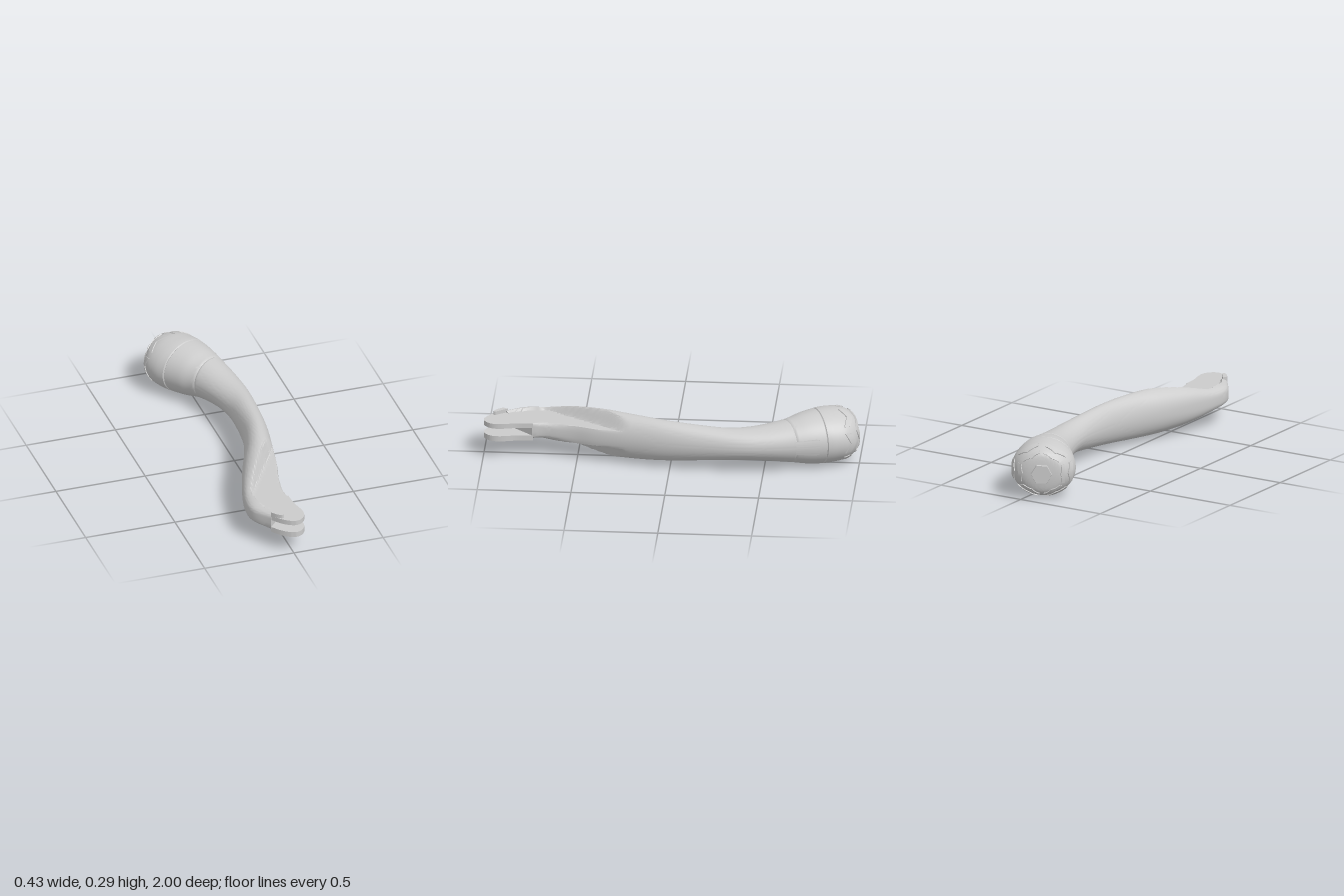
import * as THREE from 'three';
import { toCreasedNormals } from 'three/addons/utils/BufferGeometryUtils.js';

const MID = 0.15;                       // height of the centre plane
const HEAD = new THREE.Vector3(-0.04, MID, -0.82);
const mat = new THREE.MeshStandardMaterial({ color: 0xcccccc, side: THREE.DoubleSide });

// Stations from rounded head to slotted front:
// left x, left z, right x, right z, top half height, bottom half height, squareness
const STATIONS = [
  [-0.118, -0.961, -0.100, -0.972, 0.01, 0.01, 1],
  [-0.185, -0.913, -0.024, -0.997, 0.09, 0.09, 1],
  [-0.209, -0.881, 0.029, -0.992, 0.118, 0.118, 1],
  [-0.219, -0.828, 0.087, -0.950, 0.139, 0.139, 1],
  [-0.198, -0.765, 0.119, -0.892, 0.146, 0.146, 1],
  [-0.161, -0.712, 0.135, -0.844, 0.146, 0.146, 1],
  [-0.103, -0.638, 0.156, -0.765, 0.135, 0.135, 1],
  [-0.040, -0.563, 0.172, -0.685, 0.115, 0.115, 1],
  [0.019, -0.421, 0.198, -0.526, 0.092, 0.092, 1],
  [0.050, -0.288, 0.209, -0.368, 0.086, 0.086, 1],
  [0.056, -0.156, 0.198, -0.156, 0.098, 0.098, 1],
  [0.040, 0.019, 0.177, 0.040, 0.113, 0.113, 1],
  [-0.008, 0.188, 0.146, 0.214, 0.123, 0.123, 1],
  [-0.071, 0.347, 0.108, 0.400, 0.125, 0.124, 0.9],
  [-0.135, 0.532, 0.077, 0.516, 0.109, 0.107, 0.75],
  [-0.172, 0.690, 0.061, 0.611, 0.078, 0.072, 0.6],
  [-0.167, 0.802, 0.053, 0.675, 0.071, 0.052, 0.45],
  [-0.098, 0.910, 0.055, 0.740, 0.070, 0.050, 0.35],
];
const LAST = STATIONS.length - 1;
const curveOf = (f) => new THREE.CatmullRomCurve3(STATIONS.map((s) => new THREE.Vector3(...f(s))), false, 'catmullrom');
const leftEdge = curveOf((s) => [s[0], 0, s[1]]);
const rightEdge = curveOf((s) => [s[2], 0, s[3]]);
const profile = curveOf((s) => [s[4], s[5], s[6]]);

// Edge of the flat cheeks cut into the top and bottom
const CUT = [[0.12, 0.27], [-0.125, 0.67], [-0.118, 0.75], [-0.1, 0.83], [-0.065, 0.9], [-0.04, 0.95]];
function cutX(z) {
  let i = 0;
  while (i < CUT.length - 2 && z > CUT[i + 1][1]) i++;
  const [a, b] = [CUT[i], CUT[i + 1]];
  return a[0] + (b[0] - a[0]) * (z - a[1]) / (b[1] - a[1]);
}

// Point on the outer surface at station t and angle a (0 = right edge, pi/2 = top)
function surface(t, a, scale = 1, lift = 0) {
  const l = leftEdge.getPoint(t / LAST), r = rightEdge.getPoint(t / LAST), p = profile.getPoint(t / LAST);
  const c = Math.cos(a), s = Math.sin(a);
  const pos = l.clone().add(r).multiplyScalar(0.5).addScaledVector(r.sub(l), 0.5 * scale * c);
  let h = (s > 0 ? p.x : p.y) * Math.pow(Math.abs(s), p.z) * scale;
  if (pos.z > 0.1) h = Math.min(h, 0.05 + Math.max(0, cutX(pos.z) - pos.x) * (pos.z > 0.67 ? 3 : 1.8));
  pos.y = MID + Math.sign(s) * h;
  if (lift) pos.addScaledVector(pos.clone().sub(HEAD).normalize(), lift);
  return pos;
}

// Skin over closed rings of points, with both ends capped
function loft(name, rings, crease = 0.5) {
  const n = rings[0].length, pos = [], idx = [];
  rings.forEach((ring) => ring.forEach((p) => pos.push(p.x, p.y, p.z)));
  for (let i = 0; i < rings.length - 1; i++) {
    for (let j = 0; j < n; j++) {
      const a = i * n + j, b = i * n + (j + 1) % n;
      idx.push(a, b, a + n, b, b + n, a + n);
    }
  }
  [0, rings.length - 1].forEach((i) => {
    const c = new THREE.Vector3();
    rings[i].forEach((p) => c.addScaledVector(p, 1 / n));
    const k = pos.length / 3;
    pos.push(c.x, c.y, c.z);
    for (let j = 0; j < n; j++) {
      const a = i * n + j, b = i * n + (j + 1) % n;
      if (i) idx.push(k, a, b); else idx.push(k, b, a);
    }
  });
  const g = new THREE.BufferGeometry();
  g.setAttribute('position', new THREE.Float32BufferAttribute(pos, 3));
  g.setIndex(idx);
  const mesh = new THREE.Mesh(toCreasedNormals(g, crease), mat);
  mesh.name = name;
  return mesh;
}

// Length of the swept body; ends listed as seams dip into a fine groove
function bodyPart(name, t0, t1, seams) {
  const ts = [t0, t0 + 0.06];
  for (let t = t0 + 0.125; t < t1 - 0.1; t += 0.125) ts.push(t);
  ts.push(t1 - 0.06, t1);
  const n = 72;
  return loft(name, ts.map((t) => Array.from({ length: n }, (_, j) =>
    surface(t, (j / n) * Math.PI * 2, seams.includes(t) ? 0.965 : 1))));
}

// Thin raised patch following the surface between two station limits
function pad(name, a0, a1, limits, lift, steps = 8) {
  const rings = [];
  for (let i = 0; i <= steps; i++) {
    const s = i / steps, a = a0 + (a1 - a0) * s, [u, v] = limits(s);
    rings.push([surface(v, a, 1, -0.01), surface(v, a, 1, lift), surface(u, a, 1, lift), surface(u, a, 1, -0.01)]);
  }
  return loft(name, rings, 0.6);
}

// Flat plate from a plan outline of [x, z] points
function plate(name, pts, y, thickness) {
  const v = pts.map(([x, z]) => new THREE.Vector2(x, -z));
  const shape = new THREE.Shape();
  shape.moveTo(v[0].x, v[0].y);
  shape.splineThru(v.slice(1));
  const g = new THREE.ExtrudeGeometry(shape, { depth: thickness, bevelEnabled: false, curveSegments: 24 });
  g.rotateX(-Math.PI / 2).translate(0, y, 0);
  const mesh = new THREE.Mesh(toCreasedNormals(g, 0.5), mat);
  mesh.name = name;
  return mesh;
}

export function createModel() {
  const model = new THREE.Group();
  model.name = 'curvedHandle';

  // Handle, collar and rounded end cap
  model.add(bodyPart('handle', 7, LAST, [7]));
  model.add(bodyPart('collar', 5, 7, [5, 7]));
  model.add(bodyPart('endCap', 0, 5, [5]));

  // Tongue of the handle reaching into the collar
  model.add(pad('collarTongue', -0.33, 0.33, (s) => [s < 0.05 || s > 0.95 ? 5.75 : 5.55, 7.05], 0.003, 20));

  // Tread on the end cap: centre hexagon and two rings of chevrons
  const tread = new THREE.Group();
  tread.name = 'tread';
  const hexagon = new THREE.Mesh(new THREE.CylinderGeometry(0.055, 0.06, 0.02, 6).toNonIndexed(), mat);
  hexagon.geometry.computeVertexNormals();
  hexagon.name = 'treadHexagon';
  hexagon.position.set(-0.107, MID, -0.962);
  hexagon.quaternion.setFromUnitVectors(new THREE.Vector3(0, 1, 0), new THREE.Vector3(-0.52, 0, -0.855).normalize());
  tread.add(hexagon);
  for (let k = 0; k < 6; k++) {
    const a = (k / 6) * Math.PI * 2;
    const bend = (s) => Math.abs(s - 0.5);
    tread.add(pad('innerChevron', a - 0.44, a + 0.44, (s) => [1.15 + bend(s) * 0.8, 1.7 + bend(s) * 0.8], 0.005));
    tread.add(pad('outerChevron', a - 0.4, a + 0.4, (s) => [2.25 + bend(s) * 0.9, 2.8 + bend(s) * 0.9], 0.005));
  }
  model.add(tread);

  // Two front prongs with an open slot between them
  const tip = [[0.055, 0.735], [0.06, 0.82], [0.077, 0.9], [0.075, 0.95], [0.052, 0.985], [0.018, 1],
    [-0.02, 0.988], [-0.06, 0.955], [-0.098, 0.905]];
  model.add(plate('lowerProng', tip, 0.1, 0.03));
  model.add(plate('upperProng', tip, 0.173, 0.027));

  // Raised lip along the outer edge of the upper prong
  model.add(plate('lip', [[-0.098, 0.905], [-0.075, 0.935], [-0.05, 0.952], [-0.042, 0.943], [-0.06, 0.915], [-0.085, 0.88]], 0.19, 0.03));
  return model;
}
